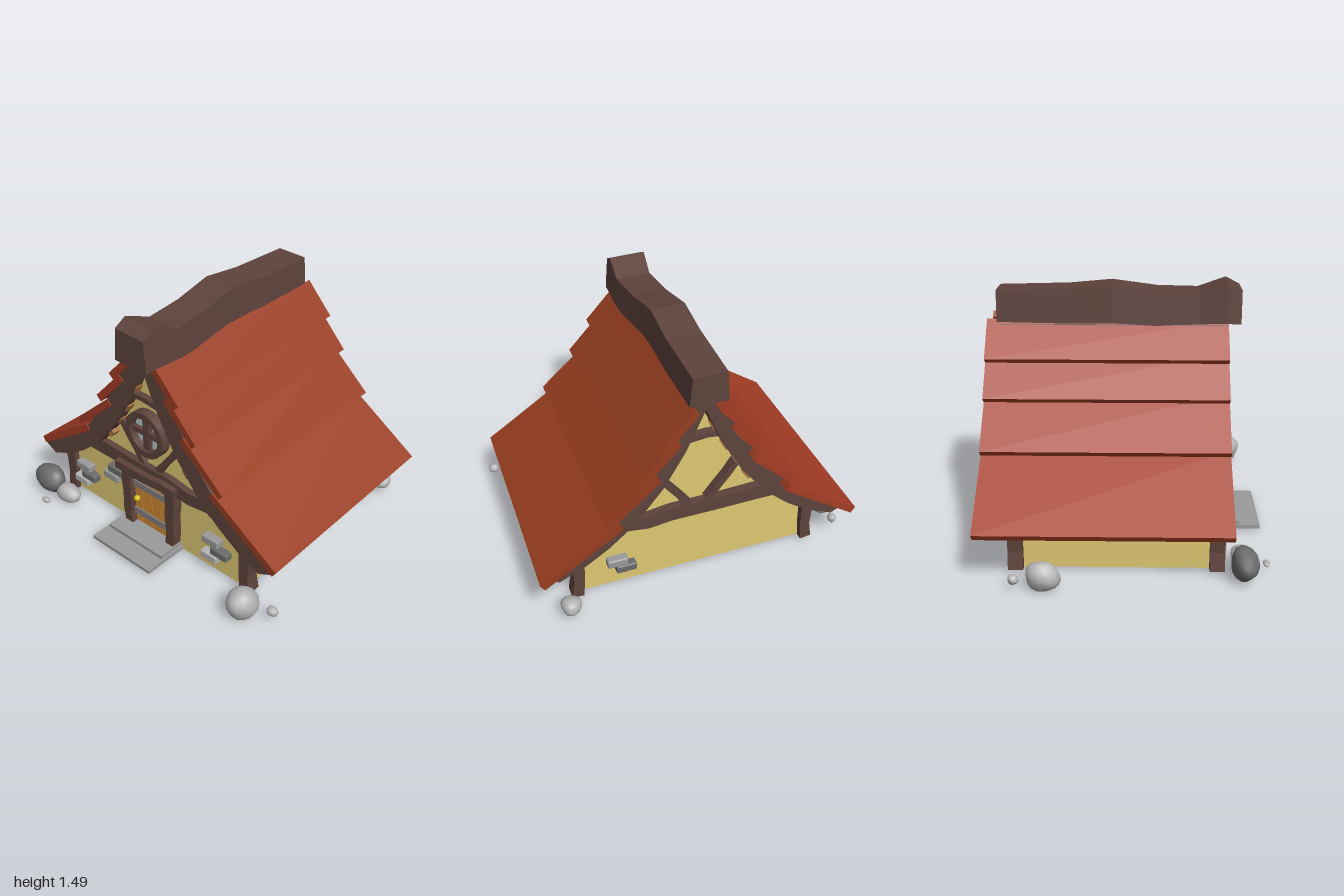
import * as THREE from 'three';
import { mergeVertices } from 'three/addons/utils/BufferGeometryUtils.js';
import { RoundedBoxGeometry } from 'three/addons/geometries/RoundedBoxGeometry.js';

const mat = (color, extra = {}) => new THREE.MeshStandardMaterial({ color, ...extra });
const WOOD = mat(0x5e433c), WALL = mat(0xddc872), DOOR = mat(0xcf8934), PEG = mat(0xa8703c);
const TILE_L = mat(0xa43c25), TILE_R = mat(0x983d20), GLASS = mat(0xb2cac8), GOLD = mat(0xd8bc10);
const LIGHT = mat(0xb4b4b4), MID = mat(0x9a9a9a), DARK = mat(0x6c6c6c), IRON = mat(0x868080);
const BEAM = mat(0x5e433c, { flatShading: true });

export function createModel() {
  const root = new THREE.Group();
  root.name = 'cottage';

  const add = (name, geo, material, x = 0, y = 0, z = 0) => {
    const m = new THREE.Mesh(geo, material);
    m.name = name;
    m.position.set(x, y, z);
    root.add(m);
    return m;
  };
  const box = (name, material, w, h, d, x, y, z) =>
    add(name, new THREE.BoxGeometry(w, h, d), material, x, y, z);

  // Outline in the xy plane, extruded from z0 to z1
  const slab = (name, pts, material, z0, z1) => {
    const shape = new THREE.Shape(pts.map(([x, y]) => new THREE.Vector2(x, y)));
    return add(name, new THREE.ExtrudeGeometry(shape, { depth: z1 - z0, bevelEnabled: false }), material, 0, 0, z0);
  };
  // Crooked timber: centre points [x, y, width], extruded in z
  const timber = (name, pts, z0, z1, material = WOOD) => {
    const a = [], b = [];
    pts.forEach(([x, y, w], i) => {
      const p = pts[Math.max(i - 1, 0)], q = pts[Math.min(i + 1, pts.length - 1)];
      const dx = q[0] - p[0], dy = q[1] - p[1], k = w / 2 / Math.hypot(dx, dy);
      a.push([x + dy * k, y - dx * k]);
      b.unshift([x - dy * k, y + dx * k]);
    });
    return slab(name, [...a, ...b], material, z0, z1);
  };
  const flip = (pts) => pts.map(([x, ...r]) => [-x, ...r]);

  // Plastered body with a curved gable
  const half = [[0.71, 0.02], [0.71, 0.39], [0.59, 0.46], [0.44, 0.59], [0.29, 0.78], [0.17, 0.98], [0.05, 1.23]];
  slab('walls', [...half, ...flip(half).reverse()], WALL, -0.6, 0.52);

  // Curved roof timbers running from gable to gable, and overlapping tile rows
  const outer = [[0.92, 0.3], [0.7, 0.45], [0.48, 0.64], [0.34, 0.82], [0.23, 1.01], [0.11, 1.25], [0, 1.27]];
  const inner = [[0, 1.22], [0.05, 1.1], [0.11, 0.965], [0.23, 0.755], [0.395, 0.545], [0.545, 0.415], [0.68, 0.325], [0.835, 0.255]];
  const rows = [[0.95, 0.335, 0.5, 0.635], [0.575, 0.65, 0.295, 0.9], [0.385, 0.89, 0.185, 1.105], [0.265, 1.085, 0.09, 1.275]];
  for (const s of [1, -1]) {
    const side = s > 0 ? 'left' : 'right';
    const turn = (pts) => (s > 0 ? pts : flip(pts));
    slab(side + 'RoofTimber', turn([...outer, ...inner]), WOOD, -0.72, 0.585).position.x = 0.005;
    rows.forEach(([x0, y0, x1, y1], i) => {
      const k = 0.045 / Math.hypot(x1 - x0, y1 - y0);
      const nx = (y0 - y1) * k, ny = (x1 - x0) * k;
      slab(side + 'TileRow' + (i + 1), turn([[x0, y0], [x1, y1], [x1 + nx, y1 + ny], [x0 + nx, y0 + ny]]),
        s > 0 ? TILE_R : TILE_L, s > 0 ? -0.79 : -0.8, 0.59).position.x = 0.01;
    });
    // Purlin ends showing under the roof at both gables
    for (const [x, y, a] of [[0.3, 0.645, 0.9], [0.225, 0.775, 1], [0.155, 0.89, 1.05], [0.08, 1.045, 1.15]])
      box('purlin', PEG, 0.05, 0.032, 1.22, s * x, y, -0.04).rotation.z = -s * a;
    // Corner posts
    for (const z of [0.515, -0.6])
      timber('cornerPost', turn([[0.725, 0.02, 0.07], [0.71, 0.13, 0.062], [0.712, 0.24, 0.07], [0.725, 0.38, 0.085]]), z - 0.042, z + 0.042);
    // Door posts
    timber('doorPost', turn([[0.165, 0.05, 0.06], [0.178, 0.15, 0.06], [0.172, 0.27, 0.065], [0.18, 0.36, 0.07], [0.175, 0.45, 0.07]]), 0.5, 0.585);
  }

  // Gable framing on both ends
  for (const [end, z0, z1] of [['front', 0.5, 0.56], ['back', -0.65, -0.58]]) {
    timber(end + 'TieBeam', [[-0.56, 0.49, 0.09], [-0.35, 0.492, 0.095], [-0.1, 0.485, 0.09], [0.15, 0.485, 0.09],
      [0.3, 0.465, 0.085], [0.45, 0.48, 0.075], [0.6, 0.405, 0.075], [0.72, 0.345, 0.06]], z0, z1);
    timber(end + 'Collar', [[-0.15, 0.985, 0.035], [-0.04, 0.993, 0.03], [0.06, 0.985, 0.035], [0.16, 0.975, 0.035]], z0, z1);
    const brace = [[0.23, 0.77, 0.04], [0.17, 0.68, 0.037], [0.115, 0.61, 0.037], [0.06, 0.53, 0.045]];
    timber(end + 'Brace', brace, z0, z1 - 0.01);
    timber(end + 'Brace', flip(brace), z0, z1 - 0.01);
  }

  // Wavy ridge beam: [z, left, right, bottom, top]
  const ridge = [[0.66, -0.115, 0.12, 1.255, 1.445], [0.58, -0.12, 0.125, 1.26, 1.485], [0.42, -0.1, 0.135, 1.255, 1.425],
    [0.18, -0.115, 0.115, 1.245, 1.435], [-0.08, -0.135, 0.095, 1.265, 1.475], [-0.33, -0.125, 0.105, 1.26, 1.45], [-0.74, -0.115, 0.105, 1.265, 1.44]];
  const pos = [], idx = [];
  ridge.forEach(([z, l, r, b, t], i) => {
    pos.push(l, b, z, r, b, z, r - 0.015, t, z, l + 0.015, t + 0.006, z);
    if (i) for (let k = 0; k < 4; k++) {
      const p = (i - 1) * 4 + k, q = (i - 1) * 4 + (k + 1) % 4;
      idx.push(p, p + 4, q, q, p + 4, q + 4);
    }
  });
  const e = (ridge.length - 1) * 4;
  idx.push(0, 1, 2, 0, 2, 3, e, e + 2, e + 1, e, e + 3, e + 2);
  const ridgeGeo = new THREE.BufferGeometry();
  ridgeGeo.setAttribute('position', new THREE.Float32BufferAttribute(pos, 3));
  ridgeGeo.setIndex(idx);
  ridgeGeo.computeVertexNormals();
  add('ridgeBeam', ridgeGeo, BEAM);

  // Plank door with iron straps, lintel, knob and steps
  for (let i = 0; i < 4; i++) box('doorPlank', DOOR, 0.076, 0.38, 0.03, -0.122 + i * 0.079, 0.25, 0.53);
  box('doorBacking', PEG, 0.31, 0.38, 0.02, 0, 0.25, 0.522);
  for (const y of [0.143, 0.352]) box('doorStrap', IRON, 0.3, 0.045, 0.015, 0, y, 0.548);
  timber('lintel', [[-0.25, 0.465, 0.052], [-0.12, 0.46, 0.06], [0, 0.462, 0.055], [0.12, 0.475, 0.055], [0.22, 0.46, 0.07]], 0.5, 0.597);
  add('doorKnob', new THREE.SphereGeometry(0.02, 12, 8), GOLD, -0.095, 0.27, 0.578);
  box('lowerStep', MID, 0.47, 0.022, 0.29, -0.015, 0.031, 0.665);
  box('upperStep', MID, 0.44, 0.022, 0.17, -0.015, 0.052, 0.605);

  // Round window
  const wx = -0.01, wy = 0.765;
  const ring = new THREE.Shape().absarc(0, 0, 0.148, 0, Math.PI * 2);
  ring.holes.push(new THREE.Path().absarc(0, 0, 0.108, 0, Math.PI * 2, true));
  add('windowFrame', new THREE.ExtrudeGeometry(ring, { depth: 0.07, bevelEnabled: false, curveSegments: 14 }), WOOD, wx, wy, 0.51);
  add('windowGlass', new THREE.CylinderGeometry(0.12, 0.12, 0.02, 20), GLASS, wx, wy, 0.525).rotation.x = Math.PI / 2;
  box('windowBar', WOOD, 0.045, 0.23, 0.03, wx, wy, 0.548);
  box('windowBar', WOOD, 0.23, 0.035, 0.028, wx, wy, 0.547);

  // Exposed stones in the plaster: [x, y, z, material, on a side wall]
  const stones = [[-0.59, 0.25, 0.53, MID], [-0.55, 0.19, 0.53, DARK], [-0.62, 0.13, 0.53, LIGHT], [-0.295, 0.365, 0.53, DARK],
    [-0.335, 0.305, 0.53, MID], [0.47, 0.25, 0.53, MID], [0.535, 0.19, 0.53, DARK], [0.46, 0.13, 0.53, LIGHT],
    [0.72, 0.215, -0.36, LIGHT, 1], [0.72, 0.163, -0.29, DARK, 1], [0.72, 0.107, -0.34, LIGHT, 1],
    [0.48, 0.205, -0.61, MID], [0.43, 0.15, -0.61, DARK]];
  for (const [x, y, z, m, side] of stones)
    add('wallStone', new RoundedBoxGeometry(0.122, 0.052, 0.08, 2, 0.01), m, x, y, z).rotation.y = side ? Math.PI / 2 : 0;

  // Boulders: lumpy spheres [x, y, z, rx, ry, rz, material]
  const rocks = [[-0.815, 0.105, 0.66, 0.12, 0.097, 0.08, DARK], [-0.925, 0.09, -0.43, 0.075, 0.09, 0.095, LIGHT],
    [-0.65, 0.065, 0.655, 0.09, 0.062, 0.065, LIGHT], [-0.715, 0.055, 0.79, 0.032, 0.018, 0.02, LIGHT],
    [0.81, 0.093, 0.68, 0.1, 0.09, 0.1, LIGHT], [0.963, 0.07, 0.605, 0.034, 0.03, 0.032, LIGHT],
    [0.79, 0.085, -0.75, 0.06, 0.05, 0.068, LIGHT], [-0.93, 0.07, -0.59, 0.03, 0.03, 0.03, LIGHT]];
  rocks.forEach(([x, y, z, rx, ry, rz, m], n) => {
    let g = new THREE.IcosahedronGeometry(1, 2);
    g.deleteAttribute('normal');
    g.deleteAttribute('uv');
    g = mergeVertices(g, 1e-3);
    const p = g.attributes.position, v = new THREE.Vector3();
    for (let i = 0; i < p.count; i++) {
      v.fromBufferAttribute(p, i);
      const k = 0.96 + 0.06 * Math.sin(3.1 * v.x + n * 2) + 0.06 * Math.sin(3.7 * v.y + 2.3 * v.z + n);
      p.setXYZ(i, v.x * k * rx, v.y * k * ry, v.z * k * rz);
    }
    g.computeVertexNormals();
    add('boulder', g, m, x, y, z);
  });

  return root;
}
